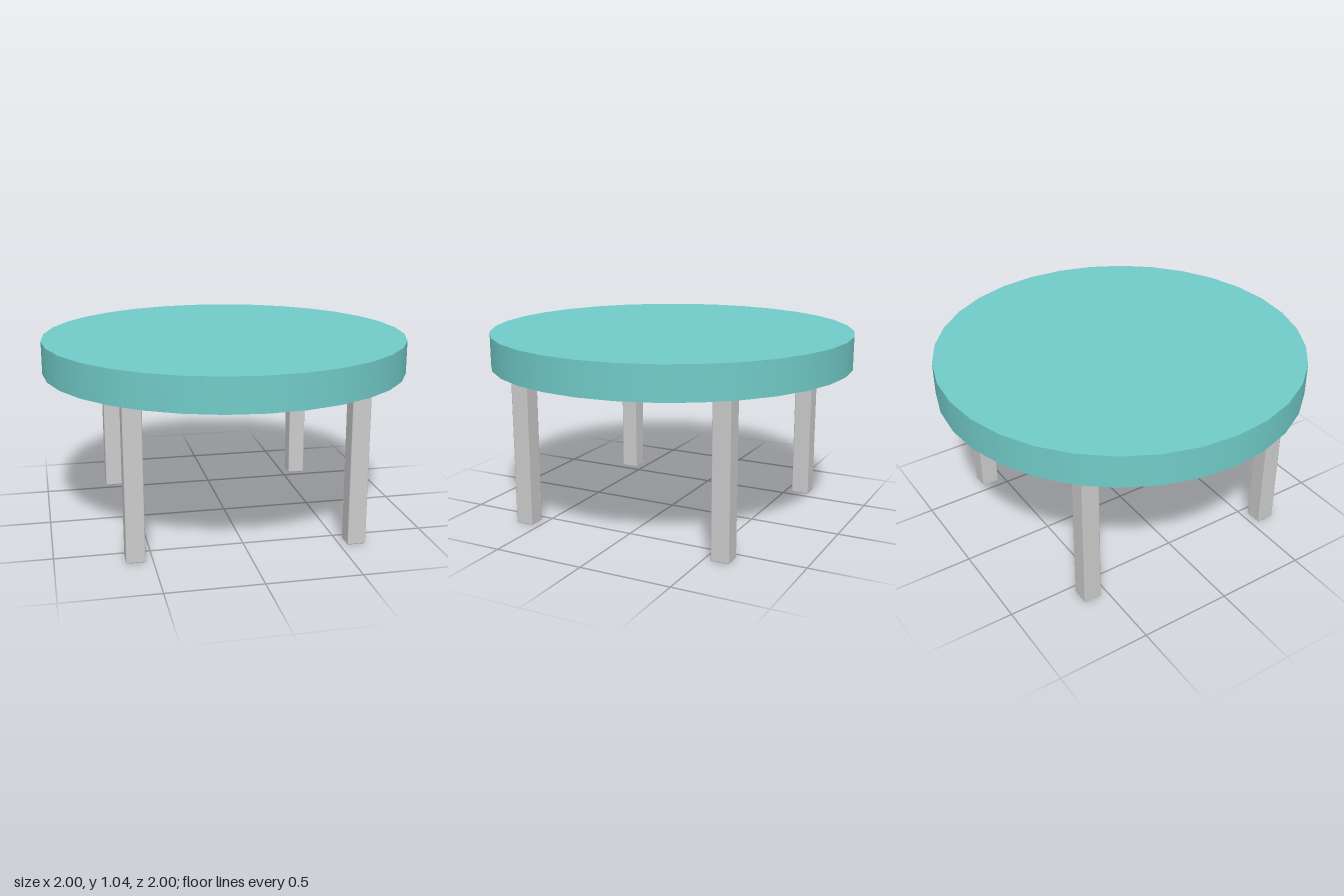
import * as THREE from 'three';
import { RoundedBoxGeometry } from 'three/addons/geometries/RoundedBoxGeometry.js';

const TOP_BOTTOM = 0.86, TOP_HEIGHT = 0.18;
const LEG_WIDTH = 0.1, LEG_OFFSET = 0.59, LEG_BEVEL = 0.006;

export function createModel() {
  const table = new THREE.Group();
  table.name = 'roundTable';

  // Thick round tabletop
  const top = new THREE.Mesh(
    new THREE.CylinderGeometry(1, 1, TOP_HEIGHT, 32),
    new THREE.MeshStandardMaterial({ color: 0x71cbc8 })
  );
  top.name = 'tabletop';
  top.position.y = TOP_BOTTOM + TOP_HEIGHT / 2;
  table.add(top);

  // Four square legs with softened edges, set slightly into the top
  const legHeight = TOP_BOTTOM + LEG_BEVEL;
  const legGeometry = new RoundedBoxGeometry(LEG_WIDTH, legHeight, LEG_WIDTH, 1, LEG_BEVEL);
  const grey = new THREE.MeshStandardMaterial({ color: 0xcccccc });
  for (const sx of [-1, 1]) {
    for (const sz of [-1, 1]) {
      const leg = new THREE.Mesh(legGeometry, grey);
      leg.name = (sz > 0 ? 'front' : 'back') + (sx > 0 ? 'Left' : 'Right') + 'Leg';
      leg.position.set(sx * LEG_OFFSET, legHeight / 2, sz * LEG_OFFSET);
      table.add(leg);
    }
  }
  return table;
}
